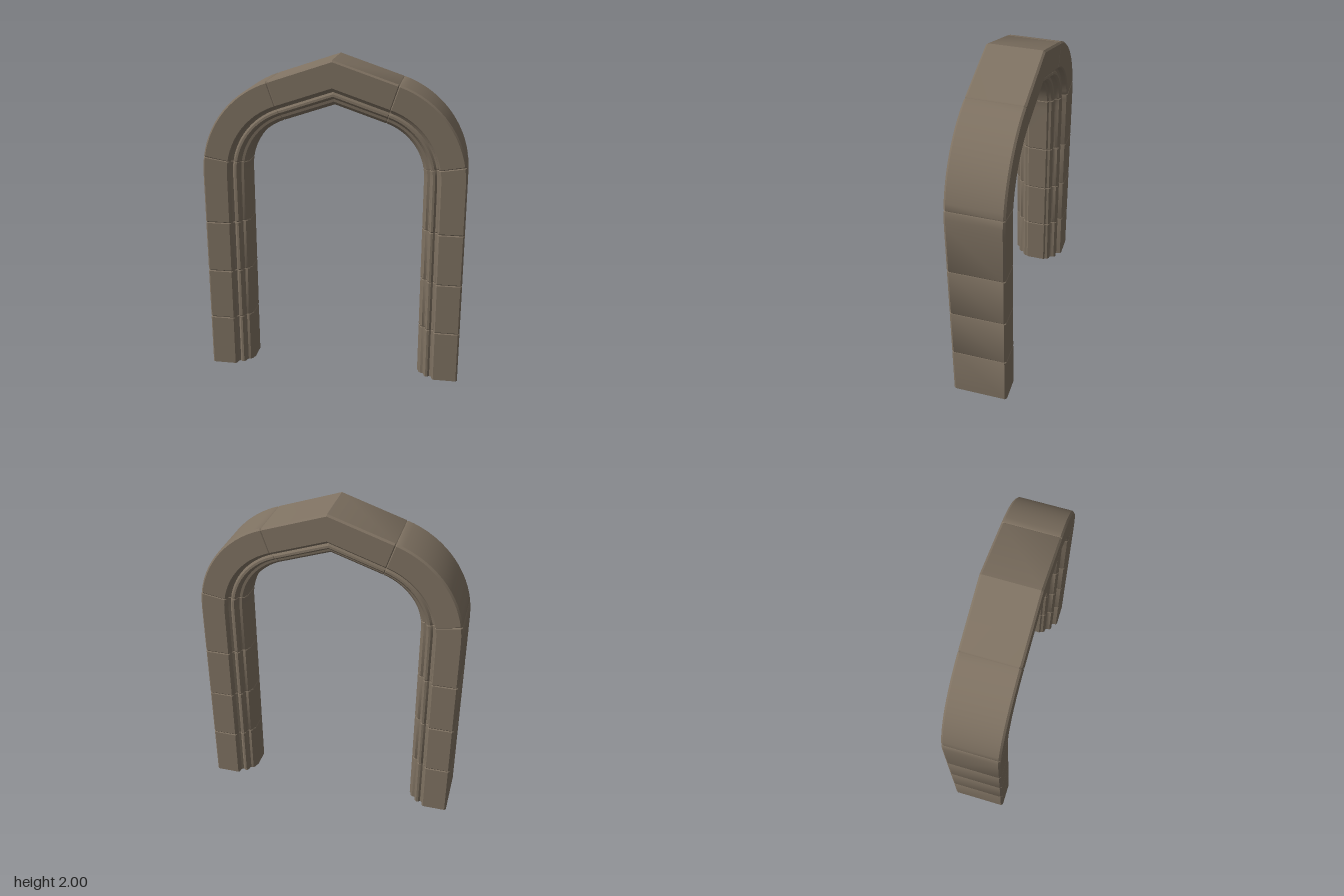
import * as THREE from 'three';
import { toCreasedNormals } from 'three/addons/utils/BufferGeometryUtils.js';

// Arch outline: vertical jamb, outer arc, then a straight slope to the point
const HALF = 0.8, R = 0.6, CX = HALF - R, CY = 1.3;
const END = Math.atan2(3, 1), JOINT = 0.17;

// Half section as [inset from the outer face, z], from outer face round to the soffit
const half = [
  [0, 0.16], [0.01, 0.172], [0.152, 0.172], [0.16, 0.165], [0.165, 0.138], [0.178, 0.13],
  [0.19, 0.139], [0.203, 0.14], [0.214, 0.128], [0.216, 0.11], [0.222, 0.1],
  [0.238, 0.098], [0.25, 0.086], [0.252, 0.07], [0.26, 0.06],
];
const section = [...half, ...half.slice().reverse().map(([u, z]) => [u, -z])];
const MID = 0.12;

// A station is an outer point plus the direction towards the opening
const jamb = (y) => ({ x: HALF, y, dx: -1, dy: 0 });
const arc = (a) => ({
  x: CX + R * Math.cos(a), y: CY + R * Math.sin(a), dx: -Math.cos(a), dy: -Math.sin(a),
});
const arcRange = (a, b, n) => Array.from({ length: n + 1 }, (_, i) => arc(a + ((b - a) * i) / n));
const apex = { x: 0, y: 2, dx: 0, dy: -1 / Math.sin(END) };

function mix(a, b, t) {
  const out = {};
  for (const k of Object.keys(a)) out[k] = a[k] + (b[k] - a[k]) * t;
  return out;
}

// Sweep the section through the stations; chosen ends get a small worn bevel
function stoneGeometry(stations, bevelStart, bevelEnd, side) {
  const bevel = 0.006;
  const step = (a, b) => mix(a, b, bevel / Math.hypot(b.x - a.x, b.y - a.y));
  const rings = stations.map((s) => ({ s, k: 1 }));
  const n = stations.length;
  if (bevelStart) {
    rings[0].s = step(stations[0], stations[1]);
    rings.unshift({ s: stations[0], k: 0.975 });
  }
  if (bevelEnd) {
    rings[rings.length - 1].s = step(stations[n - 1], stations[n - 2]);
    rings.push({ s: stations[n - 1], k: 0.975 });
  }

  const pos = [], idx = [], m = section.length;
  const put = (s, u, z) => pos.push(side * (s.x + s.dx * u), s.y + s.dy * u, z);
  const tri = (a, b, c) => (side > 0 ? idx.push(a, b, c) : idx.push(a, c, b));
  for (const { s, k } of rings) {
    for (const [u, z] of section) put(s, MID + (u - MID) * k, z * k);
  }
  for (let r = 0; r < rings.length - 1; r++) {
    for (let i = 0; i < m; i++) {
      const j = (i + 1) % m, a = r * m, b = a + m;
      tri(a + i, b + j, a + j);
      tri(a + i, b + i, b + j);
    }
  }
  // End caps
  const last = (rings.length - 1) * m, c0 = rings.length * m;
  put(rings[0].s, MID, 0);
  put(rings[rings.length - 1].s, MID, 0);
  for (let i = 0; i < m; i++) {
    const j = (i + 1) % m;
    tri(c0, i, j);
    tri(c0 + 1, last + j, last + i);
  }
  const g = new THREE.BufferGeometry();
  g.setAttribute('position', new THREE.Float32BufferAttribute(pos, 3));
  g.setIndex(idx);
  return toCreasedNormals(g, 0.5);
}

export function createModel() {
  const stone = new THREE.MeshStandardMaterial({ color: 0x7f7262 });
  stone.name = 'brown stone';

  // Stones of one half, from the floor to the point
  const stones = [
    ['footStone', [jamb(0), jamb(0.33)], false, true],
    ['lowerJambStone', [jamb(0.33), jamb(0.655)], true, true],
    ['upperJambStone', [jamb(0.655), jamb(0.98)], true, true],
    ['springerStone', [jamb(0.98), ...arcRange(0, JOINT, 2)], true, true],
    ['curvedStone', arcRange(JOINT, END, 14), true, true],
    ['crownStone', [arc(END), apex], true, false],
  ];

  const model = new THREE.Group();
  model.name = 'pointedArch';
  for (const side of [1, -1]) {
    const halfArch = new THREE.Group();
    halfArch.name = side > 0 ? 'leftHalf' : 'rightHalf';
    for (const [name, stations, start, end] of stones) {
      const mesh = new THREE.Mesh(stoneGeometry(stations, start, end, side), stone);
      mesh.name = name;
      halfArch.add(mesh);
    }
    model.add(halfArch);
  }
  return model;
}
